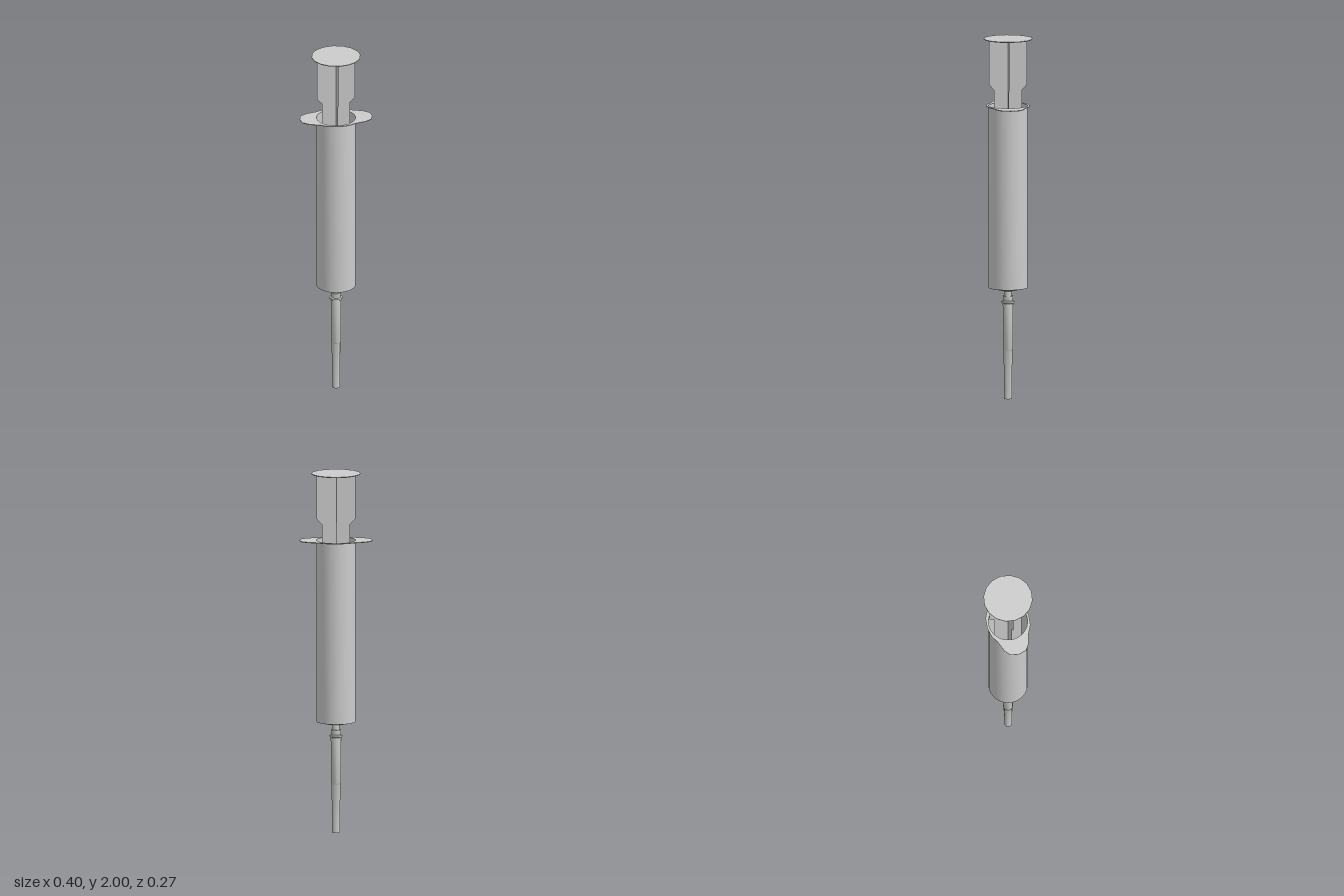
import * as THREE from 'three';
import { toCreasedNormals } from 'three/addons/utils/BufferGeometryUtils.js';

const material = new THREE.MeshStandardMaterial({ color: 0xcccccc, side: THREE.DoubleSide });

export function createModel() {
  const model = new THREE.Group();

  const add = (name, geometry, y = 0, parent = model) => {
    const mesh = new THREE.Mesh(geometry, material);
    mesh.name = name;
    mesh.position.y = y;
    parent.add(mesh);
    return mesh;
  };
  // Turned part from [radius, y] pairs, listed bottom to top
  const lathe = (points, sides) => toCreasedNormals(
    new THREE.LatheGeometry(points.map(([r, y]) => new THREE.Vector2(r, y)), sides), 0.6);

  // Needle cap: closed tapering sheath with a small step and a collar
  add('needleCap', lathe([
    [0, 0], [0.022, 0], [0.024, 0.27], [0.027, 0.275], [0.029, 0.53],
    [0.035, 0.533], [0.035, 0.542], [0.026, 0.545],
  ], 16));

  // Needle hub and nozzle
  add('needleHub', lathe([[0.025, 0.542], [0.028, 0.568], [0.028, 0.573], [0.02, 0.573]], 16));
  add('nozzle', lathe([[0.02, 0.565], [0.02, 0.602]], 16));

  // Barrel with shallow conical base, open at the top
  add('barrel', lathe([[0.018, 0.597], [0.108, 0.618], [0.108, 1.627]], 32));

  // Finger flange: two rounded wings around the barrel mouth
  const quarter = [[0.201, 0], [0.191, 0.045], [0.157, 0.07], [0.1, 0.088], [0.055, 0.112], [0, 0.12]];
  const half = [...quarter, ...quarter.slice(0, -1).reverse().map(([x, z]) => [-x, z])];
  const outline = [...half, ...half.slice(1, -1).reverse().map(([x, z]) => [x, -z])];
  const flangeShape = new THREE.Shape(outline.map(([x, z]) => new THREE.Vector2(x, z)));
  flangeShape.holes.push(new THREE.Path().absarc(0, 0, 0.107, 0, Math.PI * 2, true));
  const flange = new THREE.ExtrudeGeometry(flangeShape, { depth: 0.004, bevelEnabled: false, curveSegments: 16 });
  add('fingerFlange', flange.rotateX(-Math.PI / 2), 1.624);

  // Plunger: two crossed thin blades, narrowing where they enter the barrel
  const plunger = new THREE.Group();
  plunger.name = 'plunger';
  model.add(plunger);
  const side = [[0.078, 0.72], [0.078, 1.715], [0.106, 1.745], [0.106, 1.998]];
  const bladeShape = new THREE.Shape([
    ...side, ...side.slice().reverse().map(([x, y]) => [-x, y]),
  ].map(([x, y]) => new THREE.Vector2(x, y)));
  for (let i = 0; i < 2; i++) {
    add('plungerBlade', new THREE.ShapeGeometry(bladeShape), 0, plunger).rotation.y = i * Math.PI / 2;
  }

  // Piston inside the barrel and thumb rest on top
  add('piston', lathe([[0, 0.63], [0.104, 0.65], [0.104, 0.72], [0, 0.72]], 24), 0, plunger);
  const disc = new THREE.CylinderGeometry(0.135, 0.135, 0.004, 16);
  add('thumbRest', disc, 1.998, plunger);

  return model;
}
